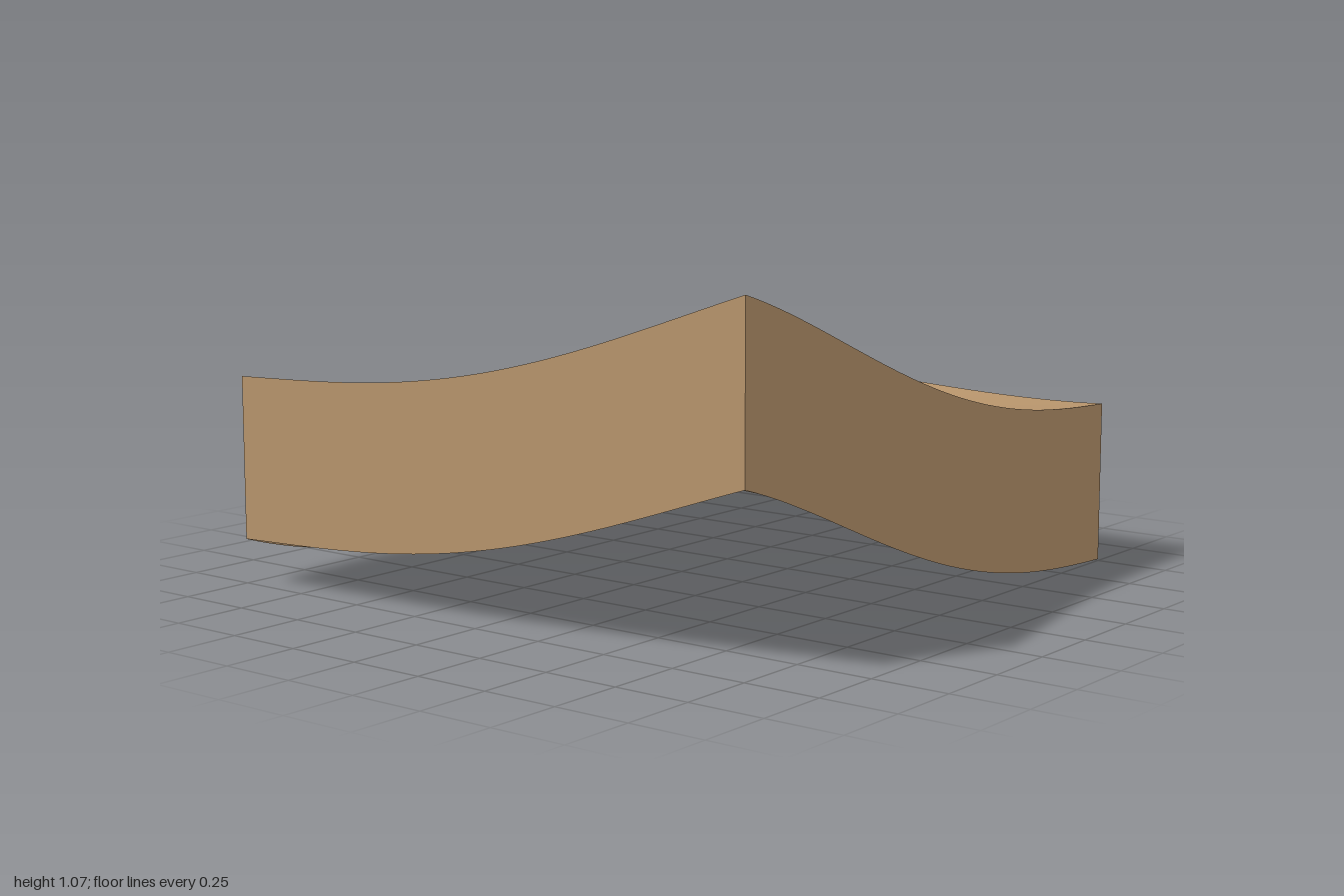
import * as THREE from 'three';

const DEPTH = 0.53;
const SEG = 40;

// Quartic through five evenly spaced heights, s from 0 to 1
function profile(h) {
  return (s) => {
    let sum = 0;
    for (let i = 0; i < 5; i++) {
      let w = h[i];
      for (let j = 0; j < 5; j++) if (j !== i) w *= (s * 4 - j) / (i - j);
      sum += w;
    }
    return sum;
  };
}

// Heights of the four top edges (back/front along +x, right/left along +z)
const back = profile([0.675, 0.565, 0.532, 0.545, 0.625]);
const front = profile([1.065, 0.878, 0.69, 0.575, 0.535]);
const right = profile([0.675, 0.698, 0.765, 0.897, 1.065]);
const left = profile([0.625, 0.598, 0.565, 0.536, 0.535]);

// Surface blended between the four edges
function height(x, z) {
  const u = (x + 1) / 2, v = (z + 1) / 2;
  const { lerp } = THREE.MathUtils;
  return lerp(back(u), front(u), v) + lerp(right(v), left(v), u)
    - lerp(lerp(0.675, 0.625, u), lerp(1.065, 0.535, u), v);
}

export function createModel() {
  const group = new THREE.Group();
  group.name = 'terrainSlab';
  const earth = new THREE.MeshStandardMaterial({ color: 0xb8956c, side: THREE.DoubleSide });
  earth.name = 'earth brown';

  function add(name, geometry) {
    const mesh = new THREE.Mesh(geometry, earth);
    mesh.name = name;
    group.add(mesh);
    return mesh;
  }

  // Curved ground surface
  const ground = new THREE.PlaneGeometry(2, 2, SEG, SEG).rotateX(-Math.PI / 2);
  const gp = ground.attributes.position;
  for (let i = 0; i < gp.count; i++) gp.setY(i, height(gp.getX(i), gp.getZ(i)));
  ground.computeVertexNormals();
  add('groundSurface', ground);

  // Side walls of constant depth, open underneath
  ['frontWall', 'leftWall', 'backWall', 'rightWall'].forEach((name, k) => {
    const wall = new THREE.PlaneGeometry(2, DEPTH, SEG, 1);
    wall.translate(0, -DEPTH / 2, 1).rotateY(k * Math.PI / 2);
    const p = wall.attributes.position;
    for (let i = 0; i < p.count; i++) {
      p.setY(i, p.getY(i) + height(p.getX(i), p.getZ(i)));
    }
    add(name, wall);
  });

  // Two small slivers poking through the slope
  for (const [x, z, length] of [[-0.805, 0.33, 0.1], [-0.52, 0.65, 0.06]]) {
    const sliver = add('sliver', new THREE.BoxGeometry(0.012, 0.015, length));
    sliver.position.set(x, height(x, z), z);
  }

  return group;
}
